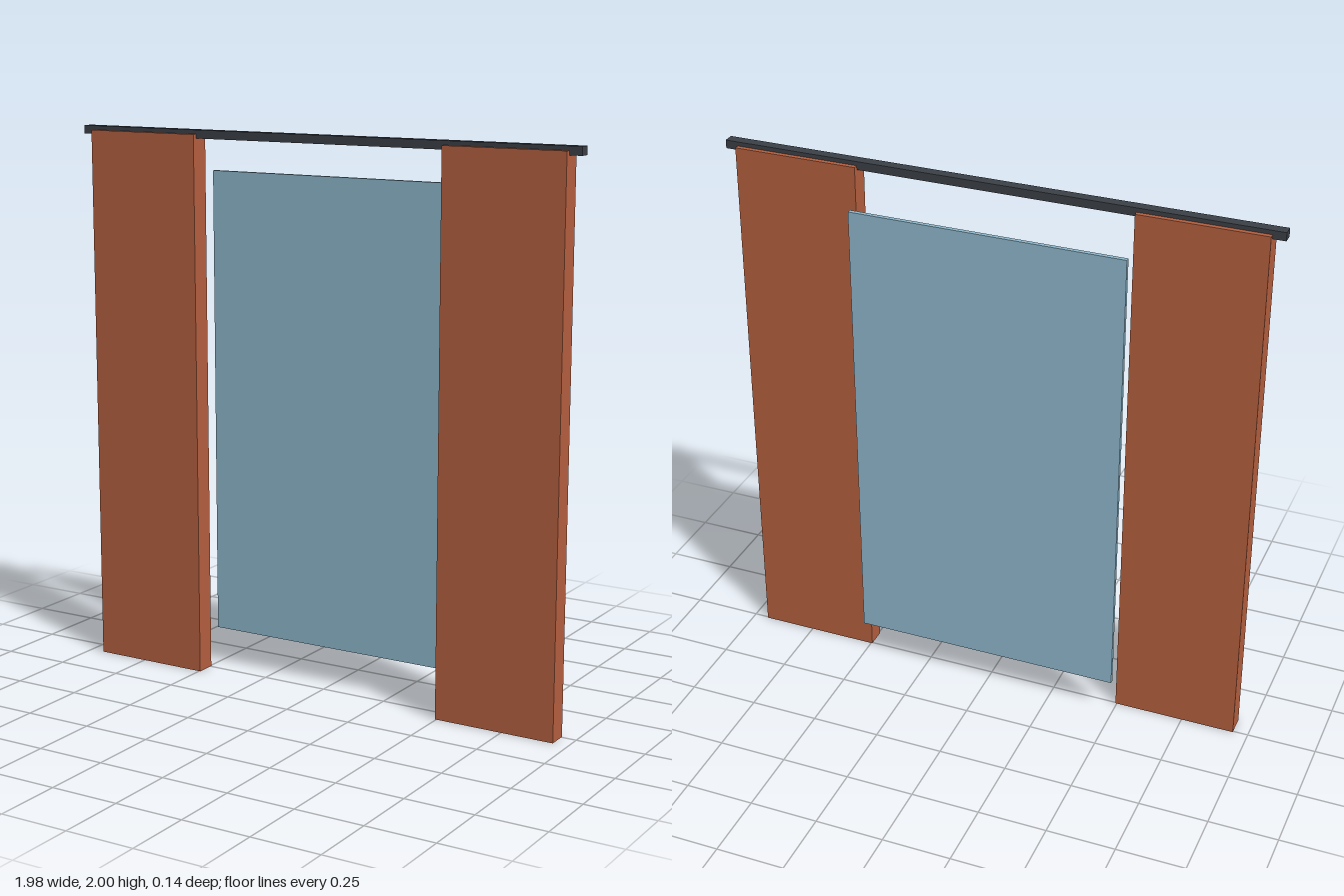
import * as THREE from 'three';

export function createModel() {
  const group = new THREE.Group();
  const material = (name, color) => {
    const m = new THREE.MeshStandardMaterial({ color });
    m.name = name;
    return m;
  };
  const terracotta = material('terracotta fabric', 0xb5603f);
  const paleBlue = material('pale blue glass', 0x8fb8cc);
  const charcoal = material('charcoal metal', 0x3b4047);

  // Box given by its centre and size
  const addBox = (name, mat, [w, h, d], [x, y, z]) => {
    const mesh = new THREE.Mesh(new THREE.BoxGeometry(w, h, d), mat);
    mesh.name = name;
    mesh.position.set(x, y, z);
    group.add(mesh);
  };

  // Mirrored curtain panels standing on the floor
  for (const [side, name] of [[1, 'leftCurtain'], [-1, 'rightCurtain']]) {
    addBox(name, terracotta, [0.45, 1.985, 0.073], [side * 0.72, 0.9925, 0.032]);
  }

  // Rail running along the top of the curtains
  addBox('curtainRail', charcoal, [1.98, 0.03, 0.038], [0, 1.985, 0.032]);

  // Window pane hanging behind the opening
  addBox('windowPane', paleBlue, [0.99, 1.71, 0.016], [0, 0.995, -0.0605]);

  return group;
}
